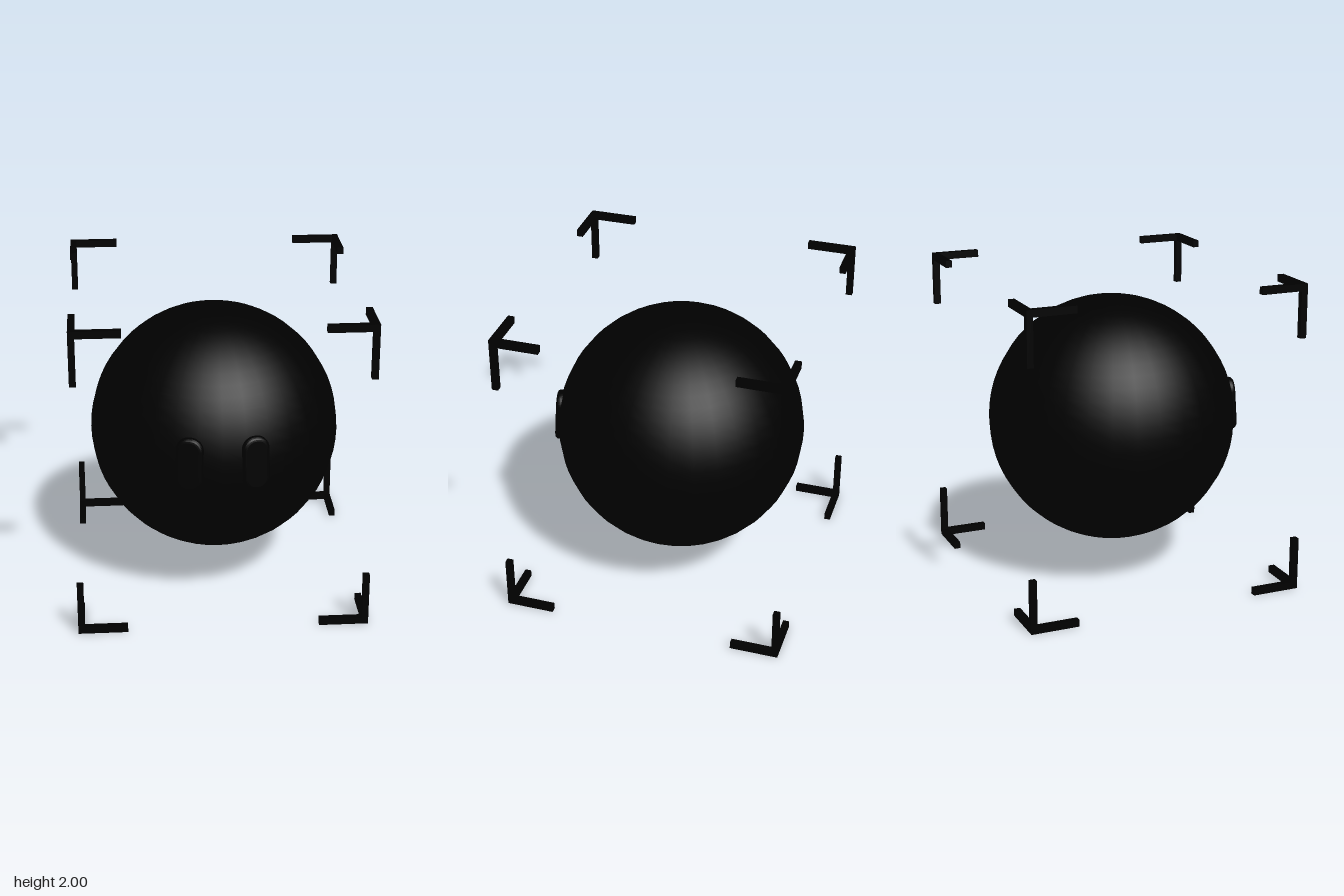
import * as THREE from 'three';

const HALF = 0.91;    // half width of the corner frame in x and z
const BAR = 0.04;     // bar thickness
const BAR_Y = 0.045;  // bar height of the horizontal arms

function roundedRect(w, h, r) {
  const s = new THREE.Shape();
  const x = w / 2, y = h / 2;
  s.absarc(x - r, y - r, r, 0, Math.PI / 2);
  s.absarc(-x + r, y - r, r, Math.PI / 2, Math.PI);
  s.absarc(-x + r, -y + r, r, Math.PI, Math.PI * 1.5);
  s.absarc(x - r, -y + r, r, Math.PI * 1.5, Math.PI * 2);
  s.closePath();
  return s;
}

export function createModel() {
  const model = new THREE.Group();
  model.name = 'framedBall';
  const black = new THREE.MeshStandardMaterial({ color: 0x000000 });

  // Round body
  const body = new THREE.Mesh(new THREE.SphereGeometry(0.8, 32, 32), black);
  body.name = 'body';
  body.position.y = 1.015;
  model.add(body);

  // Two raised pill-shaped eyes, turned outward to sit on the body
  const bevel = 0.025;
  const eyeGeometry = new THREE.ExtrudeGeometry(
    roundedRect(0.175 - 2 * bevel, 0.345 - 2 * bevel, 0.055),
    { depth: 0.045, bevelSize: bevel, bevelThickness: bevel, bevelSegments: 4, curveSegments: 6 }
  );
  eyeGeometry.translate(0, 0, -0.07); // front face at z = 0
  for (const side of [-1, 1]) {
    const eye = new THREE.Mesh(eyeGeometry, black);
    eye.name = side > 0 ? 'leftEye' : 'rightEye';
    const out = new THREE.Vector3(side * 0.205, 0.055, 0.77).normalize();
    eye.position.copy(body.position).addScaledVector(out, 0.818);
    eye.lookAt(eye.position.clone().add(out));
    model.add(eye);
  }

  // Eight corner brackets, each with three arms meeting at the corner
  const arms = [
    ['armX', 0.31, BAR_Y, BAR],
    ['armY', BAR, 0.342, BAR],
    ['armZ', BAR, BAR_Y, 0.31],
  ];
  for (const sx of [-1, 1]) for (const sy of [-1, 1]) for (const sz of [-1, 1]) {
    const bracket = new THREE.Group();
    bracket.name = `${sy > 0 ? 'top' : 'bottom'}${sz > 0 ? 'Front' : 'Back'}${sx > 0 ? 'Left' : 'Right'}Bracket`;
    bracket.position.set(sx * HALF, 1 + sy, sz * HALF);
    for (const [name, w, h, d] of arms) {
      const arm = new THREE.Mesh(new THREE.BoxGeometry(w, h, d), black);
      arm.name = name;
      arm.position.set(-sx * w / 2, -sy * h / 2, -sz * d / 2);
      bracket.add(arm);
    }
    model.add(bracket);
  }
  return model;
}
